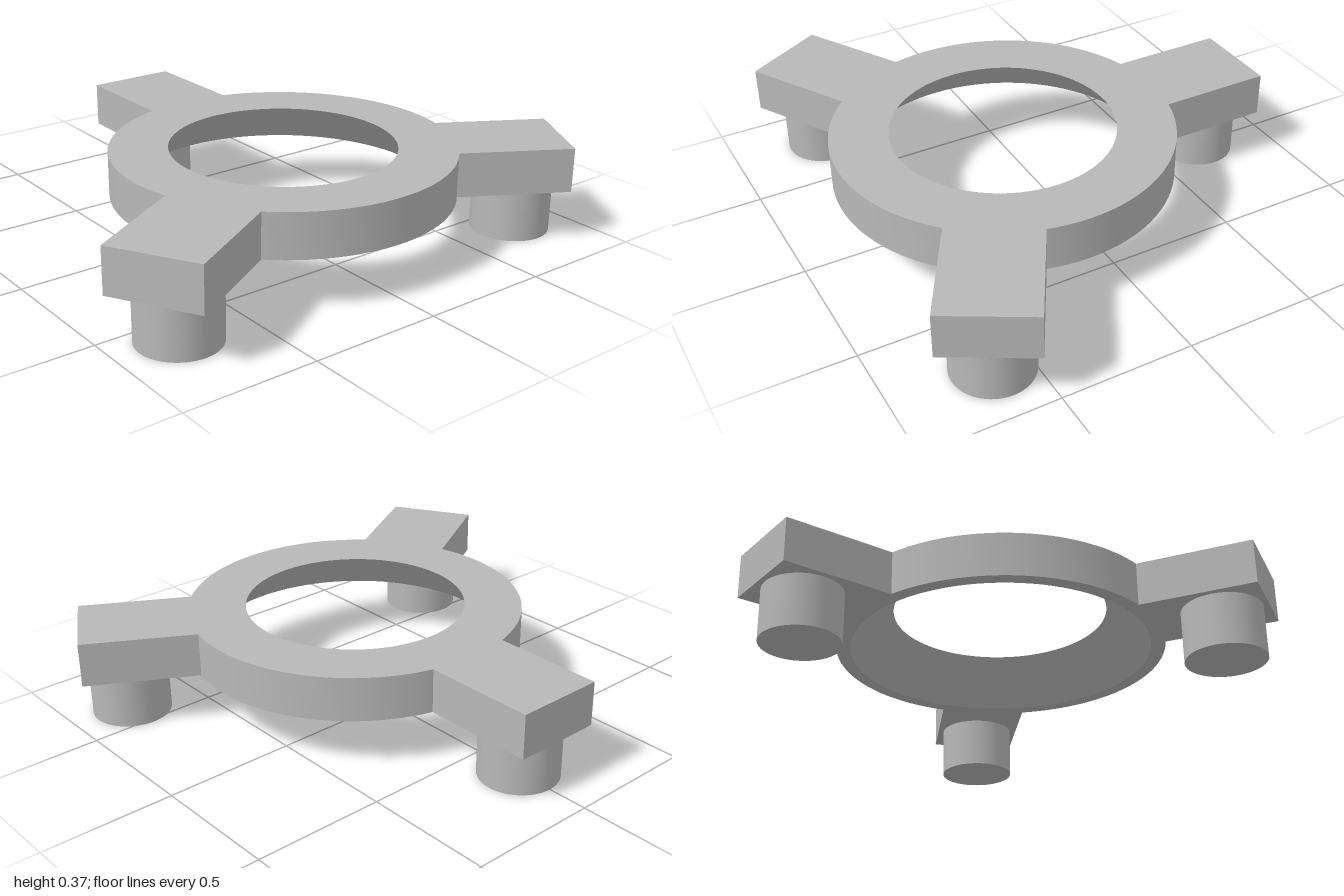
import * as THREE from 'three';
import { toCreasedNormals } from 'three/addons/utils/BufferGeometryUtils.js';

const CENTER_X = 0.1875;              // ring axis
const BOTTOM = 0.2, TOP = 0.37;       // plate heights
const RING_R = 0.6425, HOLE_TOP_R = 0.4225, HOLE_BOTTOM_R = 0.5875;
const ARM_START = 0.6, ARM_END = 1.0525, ARM_WIDTH = 0.346;
const FOOT_R = 0.15, FOOT_DIST = 0.882;

export function createModel() {
  const model = new THREE.Group();
  model.name = 'threeArmedRingStand';
  const grey = new THREE.MeshStandardMaterial({ color: 0xb8b8b8 });
  grey.name = 'grey';

  const addMesh = (parent, name, geometry) => {
    const mesh = new THREE.Mesh(geometry, grey);
    mesh.name = name;
    parent.add(mesh);
    return mesh;
  };

  const body = new THREE.Group();
  body.name = 'body';
  body.position.x = CENTER_X;
  model.add(body);

  // Ring with a hole that flares out towards the underside
  const profile = [
    [RING_R, BOTTOM], [RING_R, TOP], [HOLE_TOP_R, TOP],
    [HOLE_BOTTOM_R, BOTTOM], [RING_R, BOTTOM],
  ].map(([r, y]) => new THREE.Vector2(r, y));
  addMesh(body, 'ring', toCreasedNormals(new THREE.LatheGeometry(profile, 96), 0.6));

  // Three arms at equal angles, each with a round foot under its end
  const armGeometry = new THREE.BoxGeometry(ARM_END - ARM_START, TOP - BOTTOM, ARM_WIDTH);
  const footGeometry = new THREE.CylinderGeometry(FOOT_R, FOOT_R, BOTTOM, 48);
  ['frontLeft', 'right', 'backLeft'].forEach((side, i) => {
    const leg = new THREE.Group();
    leg.name = `${side}Leg`;
    leg.rotation.y = -Math.PI / 3 - (i * 2 * Math.PI) / 3;
    body.add(leg);
    addMesh(leg, `${side}Arm`, armGeometry)
      .position.set((ARM_START + ARM_END) / 2, (BOTTOM + TOP) / 2, 0);
    addMesh(leg, `${side}Foot`, footGeometry).position.set(FOOT_DIST, BOTTOM / 2, 0);
  });

  return model;
}
